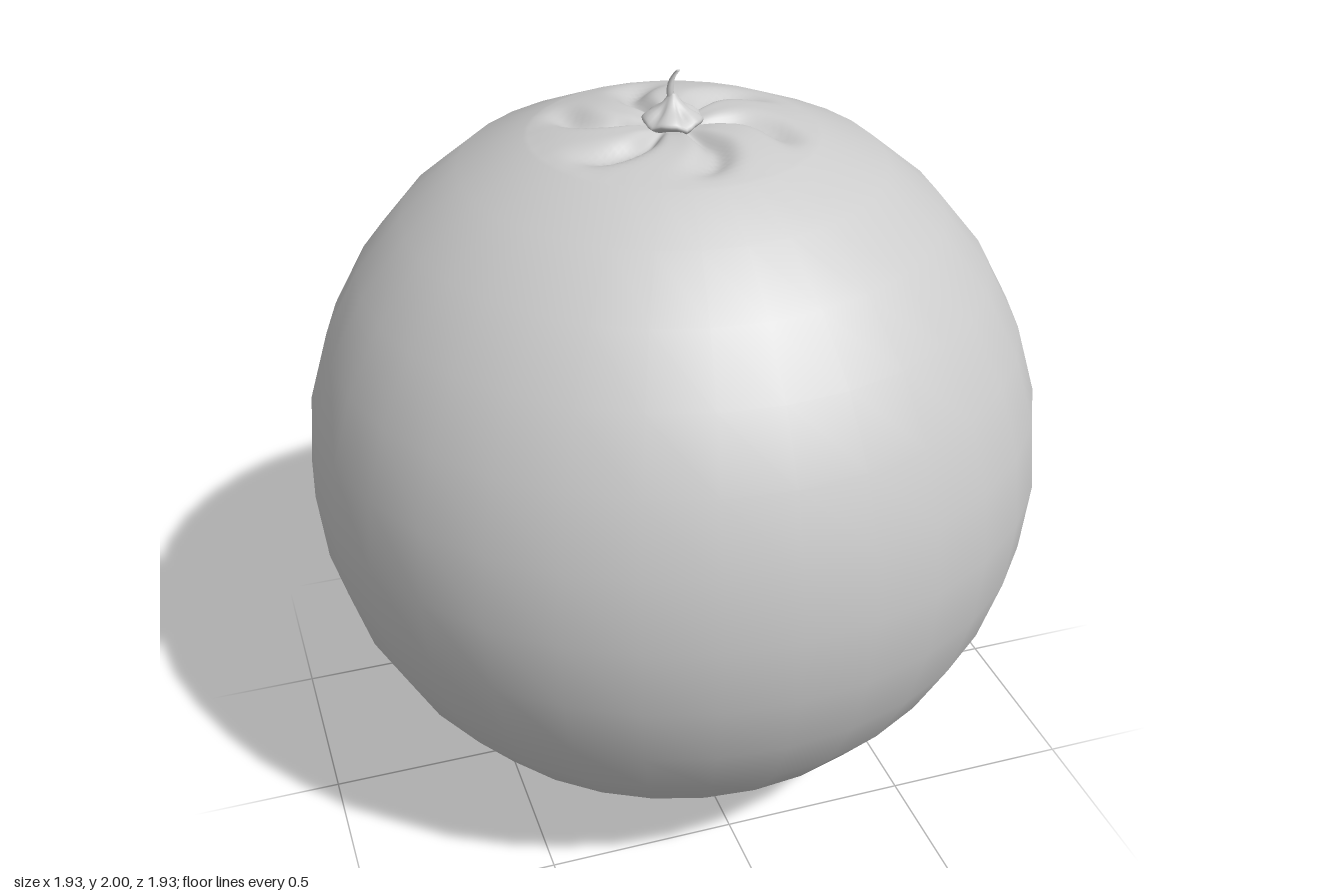
import * as THREE from 'three';
import { mergeVertices } from 'three/addons/utils/BufferGeometryUtils.js';

const R = 0.967, SIDES = 32, RIM = Math.PI / 8;
const RIM_R = R * Math.sin(RIM), RIM_Y = 1.842;

// Moves every vertex of a geometry by a rule
function reshape(geo, rule) {
  const p = geo.attributes.position, v = new THREE.Vector3();
  for (let i = 0; i < p.count; i++) {
    v.fromBufferAttribute(p, i);
    rule(v);
    p.setXYZ(i, v.x, v.y, v.z);
  }
  return geo;
}

// Welds the lathe seam so that the shading stays smooth
function weld(geo) {
  geo.deleteAttribute('uv');
  geo.deleteAttribute('normal');
  const g = mergeVertices(geo, 1e-5);
  g.computeVertexNormals();
  return g;
}

function lathe(profile, steps, segments) {
  const curve = new THREE.SplineCurve(profile.map(([x, y]) => new THREE.Vector2(x, y)));
  const pts = curve.getPoints(steps);
  pts.forEach((p) => { p.x = Math.max(p.x, 0); });
  return new THREE.LatheGeometry(pts, segments);
}

// Round body, open where the crown sits
function bodyGeometry() {
  const g = new THREE.SphereGeometry(R, SIDES, 14, 0, Math.PI * 2, RIM, Math.PI - RIM);
  return reshape(g, (v) => {
    const atRim = v.y > R * Math.cos(RIM) - 1e-4;
    v.y = atRim ? RIM_Y : v.y + R;
  });
}

// Flattened crown with six radial grooves around the stem
function crownGeometry() {
  const g = lathe([[RIM_R, RIM_Y], [0.29, 1.864], [0.2, 1.879], [0.12, 1.878], [0.06, 1.867], [0, 1.862]], 24, SIDES * 4);
  reshape(g, (v) => {
    const r = Math.hypot(v.x, v.z), a = Math.atan2(v.z, v.x);
    // Follow the 32-sided outline at the rim
    const step = Math.PI * 2 / SIDES;
    const off = a - (Math.floor(a / step + 1e-6) + 0.5) * step;
    const chord = Math.cos(step / 2) / Math.cos(off);
    const s = THREE.MathUtils.lerp(1, chord, THREE.MathUtils.smoothstep(r, 0.25, RIM_R - 0.001));
    v.x *= s;
    v.z *= s;
    // Grooves bend slightly toward their outer end
    const swirl = 0.35 * THREE.MathUtils.smoothstep(r, 0.15, 0.34);
    const wave = 0.5 + 0.5 * Math.cos(6 * (a - swirl - THREE.MathUtils.degToRad(14)));
    const fade = THREE.MathUtils.smoothstep(r, 0.03, 0.14) * (1 - THREE.MathUtils.smoothstep(r, 0.24, 0.35));
    v.y -= 0.036 * Math.pow(wave, 3) * fade;
  });
  const out = weld(g), p = out.attributes.position;
  // Match the body's shading along the rim
  for (let i = 0; i < p.count; i++) {
    const x = p.getX(i), z = p.getZ(i), r = Math.hypot(x, z);
    if (r > RIM_R * 0.99) {
      out.attributes.normal.setXYZ(i, Math.sin(RIM) * x / r, Math.cos(RIM), Math.sin(RIM) * z / r);
    }
  }
  return out;
}

// Small button at the foot of the stem, softly creased
function capGeometry() {
  const g = lathe([[0.045, 1.855], [0.07, 1.872], [0.076, 1.884], [0.062, 1.897], [0.035, 1.913], [0.018, 1.93], [0.009, 1.945]], 18, 36);
  reshape(g, (v) => {
    const r = Math.hypot(v.x, v.z), a = Math.atan2(v.z, v.x);
    v.y -= 0.012 * Math.pow(0.5 + 0.5 * Math.cos(5 * a - 0.6), 3) * THREE.MathUtils.smoothstep(r, 0.01, 0.05);
  });
  return weld(g);
}

// Thin stem that curls sideways at its tip
function stemGeometry() {
  const g = new THREE.CylinderGeometry(0.005, 0.011, 0.08, 10, 8);
  return reshape(g, (v) => {
    const t = v.y / 0.08 + 0.5;
    v.x += -0.022 * t + 0.036 * t * t * t;
    v.y += 1.96;
  });
}

export function createModel() {
  const model = new THREE.Group();
  const material = new THREE.MeshStandardMaterial({ color: 0xcccccc });
  const parts = {
    body: bodyGeometry(),
    crown: crownGeometry(),
    stemCap: capGeometry(),
    stem: stemGeometry(),
  };
  for (const [name, geometry] of Object.entries(parts)) {
    const mesh = new THREE.Mesh(geometry, material);
    mesh.name = name;
    model.add(mesh);
  }
  return model;
}
